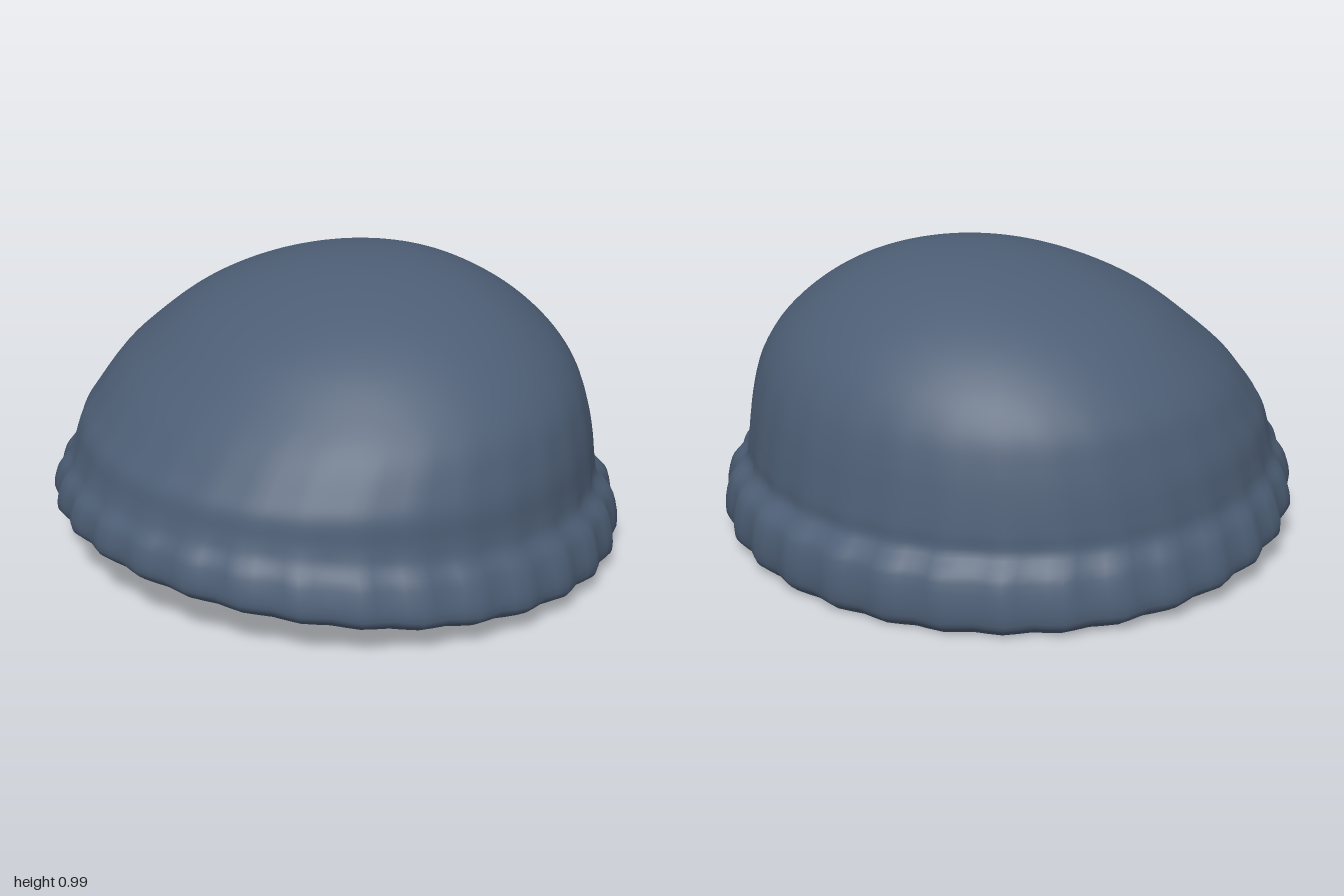
import * as THREE from 'three';
import { mergeVertices } from 'three/addons/utils/BufferGeometryUtils.js';

const wool = new THREE.MeshStandardMaterial({ name: 'slateBlueWool', color: 0x4d5e75, side: THREE.DoubleSide });

// Rings from the brim edge to the crown:
// height, forward tilt, curve, radius x, radius z, centre x, centre z, rib depth
const RINGS = [
  [0.04, 0.08, 0.04, 0.945, 0.915, 0, 0, 0.008],
  [0.08, 0.076, 0.035, 0.99, 0.95, 0, 0, 0.01],
  [0.2, 0.045, 0.03, 0.965, 0.94, 0, 0, 0.01],
  [0.27, 0.04, 0.02, 0.923, 0.893, 0, 0.01, 0.006],
  [0.33, 0.03, 0.01, 0.91, 0.88, 0, 0.005, 0.003],
  [0.42, 0.02, 0, 0.896, 0.86, 0.005, 0, 0.002],
  [0.5, 0, 0, 0.87, 0.825, 0.008, -0.015, 0.002],
  [0.6, 0, 0, 0.825, 0.765, 0.01, -0.042, 0.001],
  [0.7, 0, 0, 0.74, 0.68, 0.015, -0.07, 0],
  [0.8, 0, 0, 0.62, 0.57, 0.02, -0.085, 0],
  [0.88, 0, 0, 0.48, 0.44, 0.028, -0.1, 0],
  [0.94, 0, 0, 0.32, 0.3, 0.035, -0.115, 0],
  [0.975, 0, 0, 0.16, 0.15, 0.04, -0.12, 0],
  [0.985, 0, 0, 0, 0, 0.045, -0.12, 0],
];
const SEGMENTS = 128, ROWS = 60, RIBS = 32;

function ringPoint([y, tilt, curve, rx, rz, cx, cz, rib], angle) {
  const ripple = rib * Math.cos(RIBS * angle);
  const x = cx + (rx + ripple) * Math.sin(angle);
  const z = cz + (rz + ripple) * Math.cos(angle);
  const roll = 0.01 * x * (1 - y);
  return new THREE.Vector3(x, y + tilt * z + curve * z * z + roll, z);
}

// One smooth column per angle, joined around into a shell
function capGeometry() {
  const positions = [], indices = [];
  for (let i = 0; i < SEGMENTS; i++) {
    const angle = (i / SEGMENTS) * Math.PI * 2;
    const column = new THREE.CatmullRomCurve3(RINGS.map((ring) => ringPoint(ring, angle)));
    for (const p of column.getPoints(ROWS)) positions.push(p.x, p.y, p.z);
  }
  const at = (i, j) => (i % SEGMENTS) * (ROWS + 1) + j;
  for (let i = 0; i < SEGMENTS; i++) {
    for (let j = 0; j < ROWS; j++) {
      indices.push(at(i, j), at(i + 1, j), at(i + 1, j + 1));
      if (j < ROWS - 1) indices.push(at(i, j), at(i + 1, j + 1), at(i, j + 1));
    }
  }
  const geometry = new THREE.BufferGeometry();
  geometry.setAttribute('position', new THREE.Float32BufferAttribute(positions, 3));
  geometry.setIndex(indices);
  const merged = mergeVertices(geometry, 1e-5);
  merged.computeVertexNormals();
  return merged;
}

export function createModel() {
  const model = new THREE.Group();
  model.name = 'knitCap';
  const cap = new THREE.Mesh(capGeometry(), wool);
  cap.name = 'crownAndRibbedBrim';
  model.add(cap);
  return model;
}
